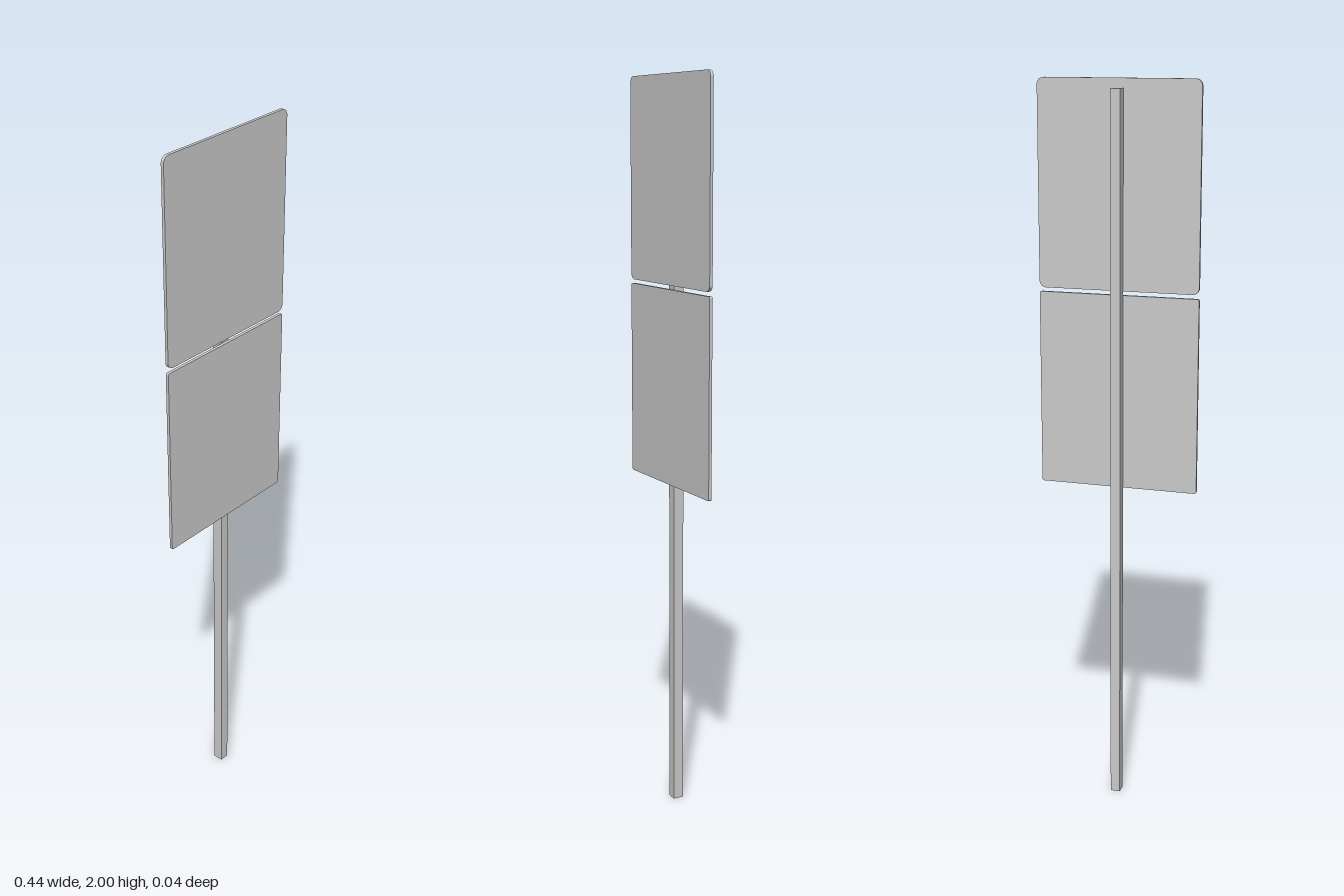
import * as THREE from 'three';

const material = new THREE.MeshStandardMaterial({ color: 0xcccccc, flatShading: true });

// Thin upright plate with rounded corners, spanning y0..y1 and z0..z1
function plate(name, halfWidth, y0, y1, z0, z1, r) {
  const s = new THREE.Shape();
  s.moveTo(-halfWidth + r, y0);
  s.lineTo(halfWidth - r, y0);
  s.absarc(halfWidth - r, y0 + r, r, -Math.PI / 2, 0);
  s.lineTo(halfWidth, y1 - r);
  s.absarc(halfWidth - r, y1 - r, r, 0, Math.PI / 2);
  s.lineTo(-halfWidth + r, y1);
  s.absarc(-halfWidth + r, y1 - r, r, Math.PI / 2, Math.PI);
  s.lineTo(-halfWidth, y0 + r);
  s.absarc(-halfWidth + r, y0 + r, r, Math.PI, Math.PI * 1.5);
  const geometry = new THREE.ExtrudeGeometry(s, {
    depth: z1 - z0, bevelEnabled: false, curveSegments: 5,
  });
  const mesh = new THREE.Mesh(geometry, material);
  mesh.name = name;
  mesh.position.z = z0;
  return mesh;
}

export function createModel() {
  const group = new THREE.Group();
  group.name = 'signPost';

  // Square post, stopping just below the top of the upper panel
  const backZ = -0.0195, faceZ = 0.0095, frontZ = 0.018, postHeight = 1.975;
  const post = new THREE.Mesh(
    new THREE.BoxGeometry(0.027, postHeight, faceZ - backZ), material);
  post.name = 'post';
  post.position.set(0, postHeight / 2, (faceZ + backZ) / 2);
  group.add(post);

  // Two sign panels on the front of the post, with a narrow gap between
  group.add(plate('upperPanel', 0.219, 1.456, 2.0, faceZ, frontZ, 0.018));
  group.add(plate('lowerPanel', 0.219, 0.915, 1.445, faceZ, frontZ, 0.005));

  return group;
}
